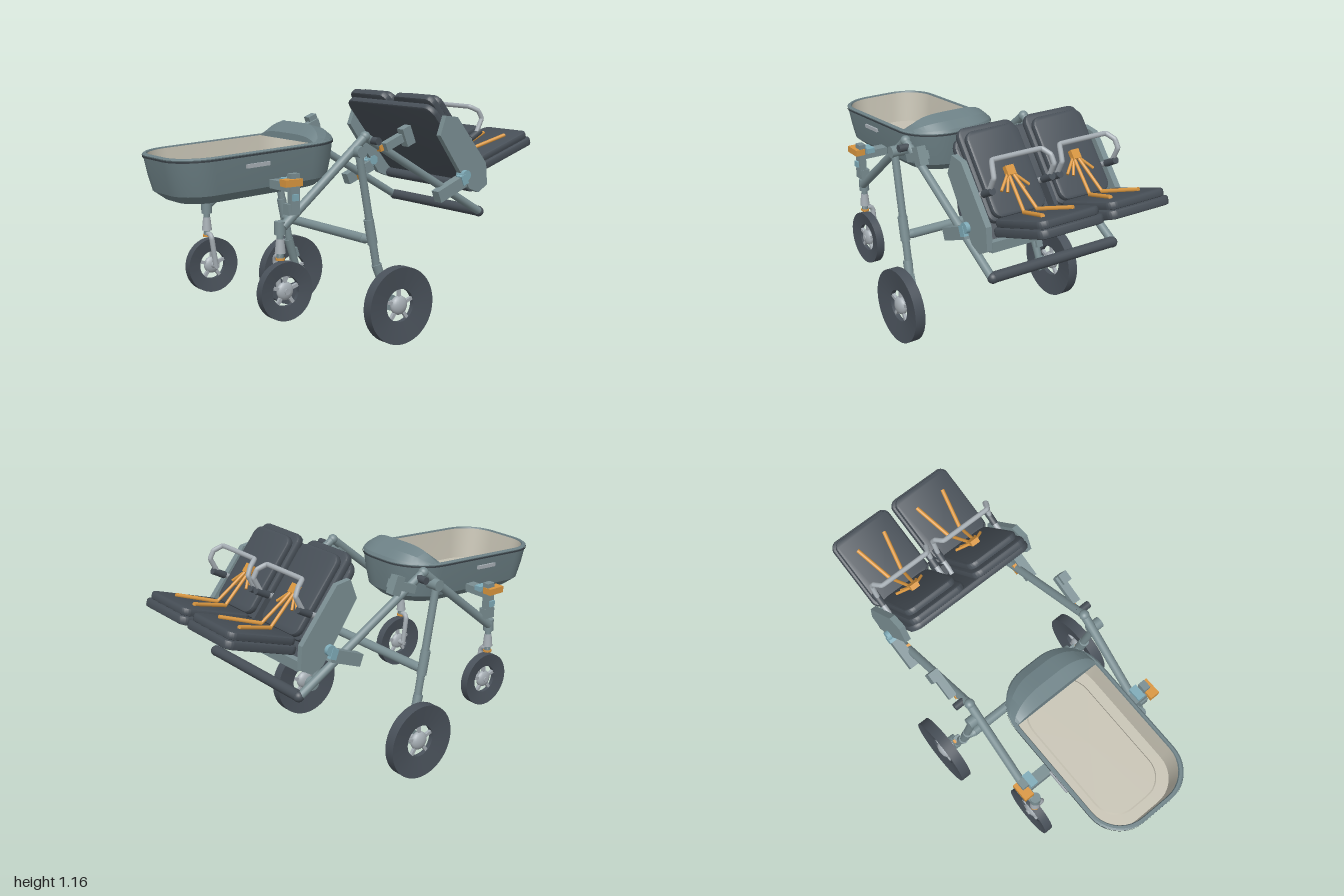
import * as THREE from 'three';
import { toCreasedNormals } from 'three/addons/utils/BufferGeometryUtils.js';

const mat = (name, color, side = THREE.FrontSide) =>
  Object.assign(new THREE.MeshStandardMaterial({ color, side }), { name });
const V = (x, y, z) => new THREE.Vector3(x, y, z);

export function createModel() {
  const root = new THREE.Group();
  const slate = mat('slate frame', 0x7a8e92);
  const shell = mat('slate shell', 0x6d8186, THREE.DoubleSide);
  const piping = mat('dark piping', 0x394147, THREE.DoubleSide);
  const dark = mat('dark padding', 0x474f57);
  const tyreMat = mat('tyre rubber', 0x49515a);
  const cream = mat('cream lining', 0xc6c2b3, THREE.DoubleSide);
  const orange = mat('orange', 0xd9963f);
  const blue = mat('blue joint', 0x7fabb8);
  const metal = mat('light metal', 0xa6aeb4);

  const add = (name, geo, m, parent = root) => {
    const mesh = new THREE.Mesh(geo, m);
    mesh.name = name;
    parent.add(mesh);
    return mesh;
  };
  const rod = (name, a, b, r, m, r2 = r) => {
    const d = b.clone().sub(a);
    const mesh = add(name, new THREE.CylinderGeometry(r2, r, d.length(), 18), m);
    mesh.position.copy(a).addScaledVector(d, 0.5);
    mesh.quaternion.setFromUnitVectors(V(0, 1, 0), d.normalize());
  };
  const box = (name, p, s, m, rot = 0) => {
    const mesh = add(name, new THREE.BoxGeometry(...s), m);
    mesh.position.set(...p);
    mesh.rotation.z = rot;
  };
  const ball = (name, p, r, m) => add(name, new THREE.SphereGeometry(r, 20, 14), m).position.copy(p);

  // Wheel: tyre with dished sides, five open spokes and a domed hub
  function wheel(name, x, y, z, R, open, w, hub) {
    const g = new THREE.Group();
    g.name = name;
    const h = w / 2, k = h * 0.45;
    const section = [[open, -k], [R, -h], [R, h], [open, k], [open, -k]].map(p => new THREE.Vector2(...p));
    add('tyre', toCreasedNormals(new THREE.LatheGeometry(section, 48).rotateX(Math.PI / 2), 0.6), tyreMat, g);
    for (let i = 0; i < 5; i++) {
      const a = Math.PI / 2 + i * Math.PI * 0.4;
      const s = add('spoke', new THREE.BoxGeometry(open, 0.016, 0.016), metal, g);
      s.position.set(Math.cos(a) * open / 2, Math.sin(a) * open / 2, 0);
      s.rotation.z = a;
    }
    add('hub', new THREE.SphereGeometry(hub, 20, 14).scale(1, 1, Math.min(1, w * 0.5 / hub)), metal, g);
    g.position.set(x, y, z);
    root.add(g);
  }

  // Rounded slab lying in x-z with its underside at y = 0
  function slab(len, wid, t, r) {
    const b = Math.min(0.01, t * 0.3), L = len / 2 - b, W = wid / 2 - b, s = new THREE.Shape();
    s.moveTo(-L + r, -W);
    s.absarc(L - r, -W + r, r, -Math.PI / 2, 0);
    s.absarc(L - r, W - r, r, 0, Math.PI / 2);
    s.absarc(-L + r, W - r, r, Math.PI / 2, Math.PI);
    s.absarc(-L + r, -W + r, r, Math.PI, Math.PI * 1.5);
    const g = new THREE.ExtrudeGeometry(s, { depth: t - 2 * b, bevelSize: b, bevelThickness: b, bevelSegments: 2, curveSegments: 6 });
    return toCreasedNormals(g.translate(0, 0, b).rotateX(-Math.PI / 2), 0.5);
  }
  const pad = (name, len, wid, t, r, x, y, z, rot) => {
    const m = add(name, slab(len, wid, t, r), dark);
    m.position.set(x, y, z);
    m.rotation.z = rot;
  };

  // Carrycot: rounded outline lofted through inset levels
  const cot = new THREE.Group();
  cot.name = 'carrycot';
  cot.position.set(-0.558, 0.942, 0);
  cot.rotation.z = 0.055;
  root.add(cot);
  const mesh = (pos, idx, crease) => {
    const g = new THREE.BufferGeometry();
    g.setAttribute('position', new THREE.Float32BufferAttribute(pos, 3));
    g.setIndex(idx);
    return toCreasedNormals(g, crease);
  };
  function loft(levels, cap) {
    const pos = [], idx = [], n = 40;
    for (const [inset, y] of levels) {
      const hx = 0.442 - inset, hz = 0.25 - inset;
      for (let q = 0; q < 4; q++) for (let i = 0; i < 10; i++) {
        const a = (q + i / 9) * Math.PI / 2, sx = q === 0 || q === 3 ? 1 : -1, sz = q < 2 ? 1 : -1;
        const r = (sx > 0 ? 0.2 : 0.17) - inset * 0.6;
        pos.push(sx * (hx - r) + r * Math.cos(a), y, sz * (hz - r) + r * Math.sin(a));
      }
    }
    for (let k = 0; k < levels.length - 1; k++) for (let i = 0; i < n; i++) {
      const a = k * n + i, b = k * n + (i + 1) % n;
      idx.push(a, a + n, b, b, a + n, b + n);
    }
    if (cap) {
      const o = (levels.length - 1) * n;
      pos.push(0, levels.at(-1)[1], 0);
      for (let i = 0; i < n; i++) idx.push(o + i, o + n, o + (i + 1) % n);
    }
    return mesh(pos, idx, 0.5);
  }
  add('carrycot shell', loft([[0, -0.005], [0.012, -0.09], [0.028, -0.168], [0.075, -0.208]], true), shell, cot);
  add('carrycot rim', loft([[0, -0.01], [-0.003, 0], [0.004, 0.006], [0.014, 0.006], [0.018, -0.005]]), shell, cot);
  add('rimPiping', loft([[-0.004, -0.004], [-0.004, -0.012]]), piping, cot);
  add('carrycot lining', loft([[0.018, 0], [0.032, -0.16]], true), cream, cot);
  add('mattress', loft([[0.082, -0.16], [0.088, -0.15]], true), cream, cot);

  // Folded hood, arched over the inner end of the carrycot
  {
    const pos = [], idx = [], prof = [[0, 0], [0.03, 0.4], [0.35, 1], [0.75, 0.65], [0.96, 0.2], [1, 0]], N = 24, P = prof.length;
    for (let i = 0; i <= N; i++) {
      const u = -1 + 2 * i / N, z = 0.242 * u;
      const e = Math.max(0, Math.abs(z) - 0.05), xe = 0.245 + Math.sqrt(Math.max(0, 0.04 - e * e));
      for (const [f, h] of prof) pos.push(0.25 + (Math.max(xe, 0.26) - 0.25) * f, h * 0.075 * (1 - u ** 4), z);
    }
    for (let i = 0; i < N; i++) for (let k = 0; k < P - 1; k++) {
      const a = i * P + k;
      idx.push(a, a + P, a + 1, a + 1, a + P, a + P + 1);
    }
    add('hood', mesh(pos, idx, 0.3), shell, cot);
  }

  const lean = -0.9, tilt = 0.325;
  for (const s of [1, -1]) {
    const P = (x, y, z) => V(x, y, z * s);
    // Wheels and axles
    wheel('rearWheel', 0.02, 0.188, 0.462 * s, 0.187, 0.08, 0.054, 0.047);
    wheel('frontWheel', -0.537, 0.313, 0.335 * s, 0.136, 0.07, 0.043, 0.043);
    rod('rearAxle', P(0.02, 0.188, 0.37), P(0.02, 0.188, 0.46), 0.014, metal);
    rod('rearAxleHousing', P(0.02, 0.188, 0.378), P(0.02, 0.188, 0.408), 0.038, slate);
    rod('frontAxle', P(-0.537, 0.313, 0.28), P(-0.537, 0.313, 0.36), 0.014, metal);

    // Main side tubes, rear legs and joints
    const top = P(-0.095, 0.985, 0.345);
    rod('frontSideTube', P(-0.55, 0.61, 0.345), top, 0.021, slate);
    rod('rearSideTube', top, P(0.635, 0.558, 0.345), 0.02, slate);
    ball('topJoint', top, 0.025, slate);
    rod('rearLeg', P(-0.155, 0.93, 0.375), P(-0.045, 0.36, 0.375), 0.019, slate);
    rod('legSleeve', P(-0.095, 0.6, 0.375), P(-0.07, 0.48, 0.375), 0.024, slate);
    rod('legFoot', P(-0.05, 0.38, 0.378), P(0.01, 0.2, 0.39), 0.024, slate, 0.018);
    box('footBracket', [-0.005, 0.3, 0.39 * s], [0.03, 0.05, 0.036], slate, 0.3);
    box('brakeTab', [-0.015, 0.318, 0.412 * s], [0.02, 0.012, 0.012], orange, 0.3);
    rod('legPivot', P(-0.15, 0.92, 0.33), P(-0.15, 0.92, 0.4), 0.028, slate);
    rod('topPivot', P(-0.06, 0.965, 0.335), P(-0.06, 0.965, 0.405), 0.018, dark);

    // Upper and lower seat brackets
    box('upperBracket', [0.065, 0.96, 0.375 * s], [0.15, 0.04, 0.04], slate, 0.38);
    box('upperBracketPlate', [0.115, 0.98, 0.39 * s], [0.05, 0.09, 0.045], slate, 0.38);
    box('upperRelease', [-0.01, 0.928, 0.352 * s], [0.024, 0.03, 0.03], orange, 0.38);
    box('lowerBracket', [0.405, 0.7, 0.375 * s], [0.18, 0.06, 0.05], slate, 0.38);
    box('lowerRelease', [0.4, 0.69, 0.345 * s], [0.05, 0.045, 0.03], orange, 0.38);
    rod('seatPivot', P(0.495, 0.76, 0.35), P(0.495, 0.76, 0.402), 0.026, blue);
    box('lowerBracketJoint', [0.48, 0.74, 0.385 * s], [0.035, 0.05, 0.04], blue, 0.38);

    // Sprung front leg with single-sided fork
    rod('frontLeg', P(-0.56, 0.46, 0.335), P(-0.56, 0.63, 0.335), 0.016, slate);
    rod('legCollar', P(-0.56, 0.575, 0.335), P(-0.56, 0.635, 0.335), 0.026, slate);
    rod('legSuspension', P(-0.56, 0.49, 0.335), P(-0.56, 0.555, 0.335), 0.025, metal, 0.018);
    rod('orangeCollar', P(-0.56, 0.458, 0.335), P(-0.56, 0.468, 0.335), 0.021, orange);
    const fork = new THREE.CatmullRomCurve3([P(-0.56, 0.475, 0.35), P(-0.56, 0.472, 0.305), P(-0.558, 0.45, 0.29), P(-0.537, 0.305, 0.29)], false, 'catmullrom', 0.2);
    add('fork', new THREE.TubeGeometry(fork, 24, 0.013, 10), metal);

    // Carrycot mount and clamp
    box('mountPost', [-0.51, 0.765, 0.372 * s], [0.045, 0.17, 0.035], slate);
    box('mountFoot', [-0.515, 0.69, 0.362 * s], [0.06, 0.05, 0.045], slate);
    box('mountArm', [-0.52, 0.79, 0.3 * s], [0.055, 0.04, 0.14], slate);
    box('mountLatch', [-0.51, 0.815, 0.33 * s], [0.07, 0.025, 0.04], blue);
    box('mountButton', [-0.515, 0.745, 0.393 * s], [0.03, 0.03, 0.014], blue);
    box('orangeClamp', [-0.53, 0.812, 0.385 * s], [0.09, 0.032, 0.05], orange);
    box('cotHandle', [-0.615, 0.883, 0.247 * s], [0.12, 0.018, 0.014], metal, 0.055);

    // Seat side panel
    const outline = [[0.37, 1.06], [0.445, 1.05], [0.64, 0.81], [0.65, 0.7], [0.59, 0.665], [0.53, 0.69], [0.335, 0.965]];
    const panel = new THREE.ExtrudeGeometry(new THREE.Shape(outline.map(p => new THREE.Vector2(...p))), { depth: 0.03, bevelEnabled: false });
    add('seatSidePanel', panel, slate).position.z = s > 0 ? 0.352 : -0.382;

    // One seat of the pair
    const c = 0.182 * s;
    pad('seatBase', 0.385, 0.34, 0.04, 0.03, 0.823, 0.82, c, tilt);
    pad('seatCushion', 0.365, 0.318, 0.036, 0.03, 0.809, 0.857, c, tilt);
    pad('backPad', 0.45, 0.305, 0.036, 0.035, 0.443, 0.962, c, lean);
    pad('backCushion', 0.41, 0.28, 0.034, 0.035, 0.481, 0.976, c, lean);

    // Bumper bar with angular corners, side arms and grips
    const Q = (x, y, z) => V(x, y, c + z), pts = [], zo = 0.16;
    for (const e of [-1, 1]) {
      const half = [Q(0.6, 0.95, e * zo), Q(0.64, 1.03, e * zo), Q(0.622, 1.068, e * 0.155), Q(0.583, 1.09, e * 0.13)];
      pts.push(...(e < 0 ? half : half.reverse()));
      rod('barArm', Q(0.5, 0.9, e * zo), Q(0.6, 0.95, e * zo), 0.013, metal);
      rod('barGrip', Q(0.565, 0.933, e * zo), Q(0.63, 0.968, e * zo), 0.017, dark);
    }
    add('bumperBar', new THREE.TubeGeometry(new THREE.CatmullRomCurve3(pts, false, 'catmullrom', 0.06), 90, 0.012, 10), metal);

    // Harness: buckle, long lap straps and short fanned straps
    box('buckle', [0.53, 0.997, c], [0.045, 0.026, 0.044], orange, lean);
    for (const e of [-1, 1]) {
      rod('strap', Q(0.545, 0.98, e * 0.012), Q(0.69, 0.862, e * 0.035), 0.008, orange);
      rod('lapStrap', Q(0.69, 0.862, e * 0.035), Q(0.88, 0.925, e * 0.08), 0.01, orange);
      rod('sideStrap', Q(0.535, 0.985, e * 0.015), Q(0.575, 0.93, e * 0.075), 0.007, orange);
      rod('middleStrap', Q(0.535, 0.985, e * 0.01), Q(0.58, 0.92, e * 0.045), 0.007, orange);
    }
    rod('crossBarEnd', P(-0.085, 0.5, 0.33), P(-0.08, 0.5, 0.372), 0.023, slate, 0.016);
    ball('handleEnd', P(0.635, 0.558, 0.34), 0.026, dark);
  }

  // Shared seat shell and cross members
  pad('seatBackShell', 0.52, 0.7, 0.034, 0.05, 0.454, 0.893, 0, lean);
  box('seatFrontRail', [0.625, 0.712, 0], [0.05, 0.05, 0.71], slate);
  rod('seatUnderRail', V(0.59, 0.688, -0.33), V(0.59, 0.688, 0.33), 0.026, dark);
  box('centreDivider', [0.59, 0.85, 0], [0.05, 0.2, 0.02], dark, 0.67);
  rod('pushHandle', V(0.635, 0.56, -0.34), V(0.635, 0.56, 0.34), 0.026, dark);
  rod('crossBar', V(-0.085, 0.5, -0.33), V(-0.085, 0.5, 0.33), 0.023, slate);
  return root;
}
